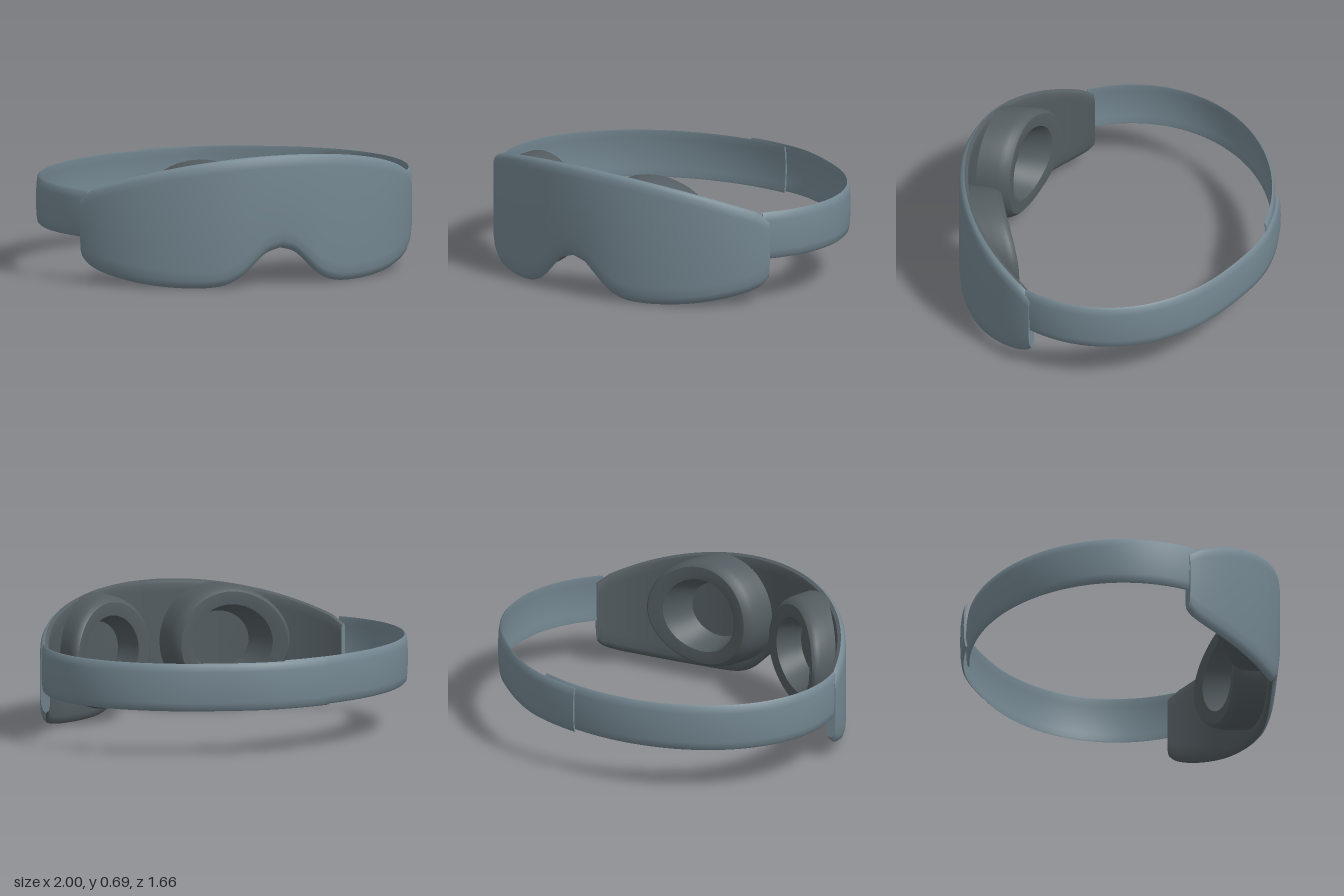
import * as THREE from 'three';
import { toCreasedNormals } from 'three/addons/utils/BufferGeometryUtils.js';

const DEPTH = 0.828; // front half-axis of the oval plan
const fabric = new THREE.MeshStandardMaterial({ name: 'blueGreyFabric', color: 0x748791 });
const padding = new THREE.MeshStandardMaterial({ name: 'darkGreyPadding', color: 0x535c60 });

// Surface through columns of points; columns run left to right, points upward
function grid(columns, crease = 0.7) {
  const n = columns[0].length, index = [];
  for (let i = 0; i < columns.length - 1; i++) {
    for (let j = 0; j < n - 1; j++) {
      const a = i * n + j, b = a + n;
      index.push(a, b, b + 1, a, b + 1, a + 1);
    }
  }
  const geometry = new THREE.BufferGeometry().setFromPoints(columns.flat());
  geometry.setIndex(index);
  return toCreasedNormals(geometry, crease);
}

function addMesh(parent, name, geometry, material) {
  const mesh = new THREE.Mesh(geometry, material);
  mesh.name = name;
  parent.add(mesh);
}

// Point on the oval at angle t, moved inward by inset
function ovalPoint(t, b, y, inset) {
  const x = Math.sin(t), z = b * Math.cos(t);
  const nx = x, nz = z / (b * b), l = Math.hypot(nx, nz);
  return new THREE.Vector3(x - inset * nx / l, y, z - inset * nz / l);
}

// Thick curved band: outer skin, inner skin and both end caps
function band(name, outer, inner, innerMaterial) {
  const group = new THREE.Group();
  group.name = name;
  const last = outer.length - 1;
  addMesh(group, name + 'Outer', grid(outer), fabric);
  addMesh(group, name + 'Inner', grid(inner.map(c => [...c].reverse())), innerMaterial);
  addMesh(group, name + 'StartEdge', grid([inner[0], outer[0]]), fabric);
  addMesh(group, name + 'FinishEdge', grid([outer[last], inner[last]]), fabric);
  return group;
}

// Mask shell with an arched top and a nose notch
function makeMask() {
  const lower = new THREE.SplineCurve([
    [0, 0.205], [0.08, 0.18], [0.15, 0.12], [0.22, 0.058], [0.3, 0.018], [0.4, 0.003],
    [0.55, 0.004], [0.7, 0.02], [0.83, 0.053], [0.9, 0.09], [0.925, 0.13],
  ].map(p => new THREE.Vector2(...p))).getPoints(50);
  const edge = [...lower.slice(1).reverse().map(p => new THREE.Vector2(-p.x, p.y)), ...lower];
  // rows: [height from bottom or top edge, outer inset, inner inset]
  const bottomRows = [[0, 0.03, 0.03], [0.012, 0.015, 0.044], [0.04, 0.005, 0.05], [0.09, 0, 0.05]];
  const topRows = [[0.06, 0, 0.05], [0.025, 0.003, 0.05], [0.008, 0.013, 0.045], [0, 0.027, 0.027]];
  const column = (p, k) => {
    const t = Math.asin(p.x);
    const top = 0.69 - 0.353 * (1 - Math.cos(t)) - 0.2 * Math.max(0, Math.abs(t) - 1.1);
    return [
      ...bottomRows.map(r => ovalPoint(t, DEPTH, p.y + r[0], r[k])),
      ...topRows.map(r => ovalPoint(t, DEPTH, top - r[0], r[k])),
    ];
  };
  return band('mask', edge.map(p => column(p, 1)), edge.map(p => column(p, 2)), padding);
}

// Strap half; the left one steps outward to overlap at the back
function makeStrap(name, start, finish) {
  const rows = [[0.24, 0.018, 0.018], [0.25, 0.008, 0.019], [0.285, 0.003, 0.013], [0.365, 0, 0.01],
    [0.445, 0.003, 0.013], [0.48, 0.008, 0.019], [0.49, 0.018, 0.018]];
  const angles = Array.from({ length: 61 }, (_, i) => start + (finish - start) * i / 60);
  const column = (t, k) => {
    const b = 0.8 + 0.03 * THREE.MathUtils.smoothstep(t, 2.55, 3.0);
    return rows.map(r => ovalPoint(t, b, r[0], r[k]));
  };
  return band(name, angles.map(t => column(t, 1)), angles.map(t => column(t, 2)), fabric);
}

// Round padded eye cup, bent to follow the mask
function makeEyeCup(name, centreX) {
  const profile = [
    [0.295, 0.03], [0.295, 0.1], [0.295, 0.16], [0.29, 0.19], [0.28, 0.212], [0.268, 0.225],
    [0.235, 0.228], [0.2, 0.225], [0.19, 0.2], [0.175, 0.15], [0.16, 0.12], [0.15, 0.09], [0.075, 0.09], [0, 0.09],
  ].map(p => new THREE.Vector2(...p));
  const geometry = new THREE.LatheGeometry(profile, 64);
  const pos = geometry.attributes.position;
  for (let i = 0; i < pos.count; i++) {
    const x = centreX + pos.getX(i);
    pos.setXYZ(i, x, 0.365 + pos.getZ(i), DEPTH * Math.sqrt(1 - x * x) - pos.getY(i));
  }
  const mesh = new THREE.Mesh(toCreasedNormals(geometry, 0.6), padding);
  mesh.name = name;
  return mesh;
}

export function createModel() {
  const model = new THREE.Group();
  model.name = 'sleepMask';
  model.add(
    makeMask(),
    makeStrap('leftStrap', 1.13, Math.PI + 0.15),
    makeStrap('rightStrap', -Math.PI - 0.1, -1.13),
    makeEyeCup('leftEyeCup', 0.365),
    makeEyeCup('rightEyeCup', -0.365),
  );
  return model;
}
